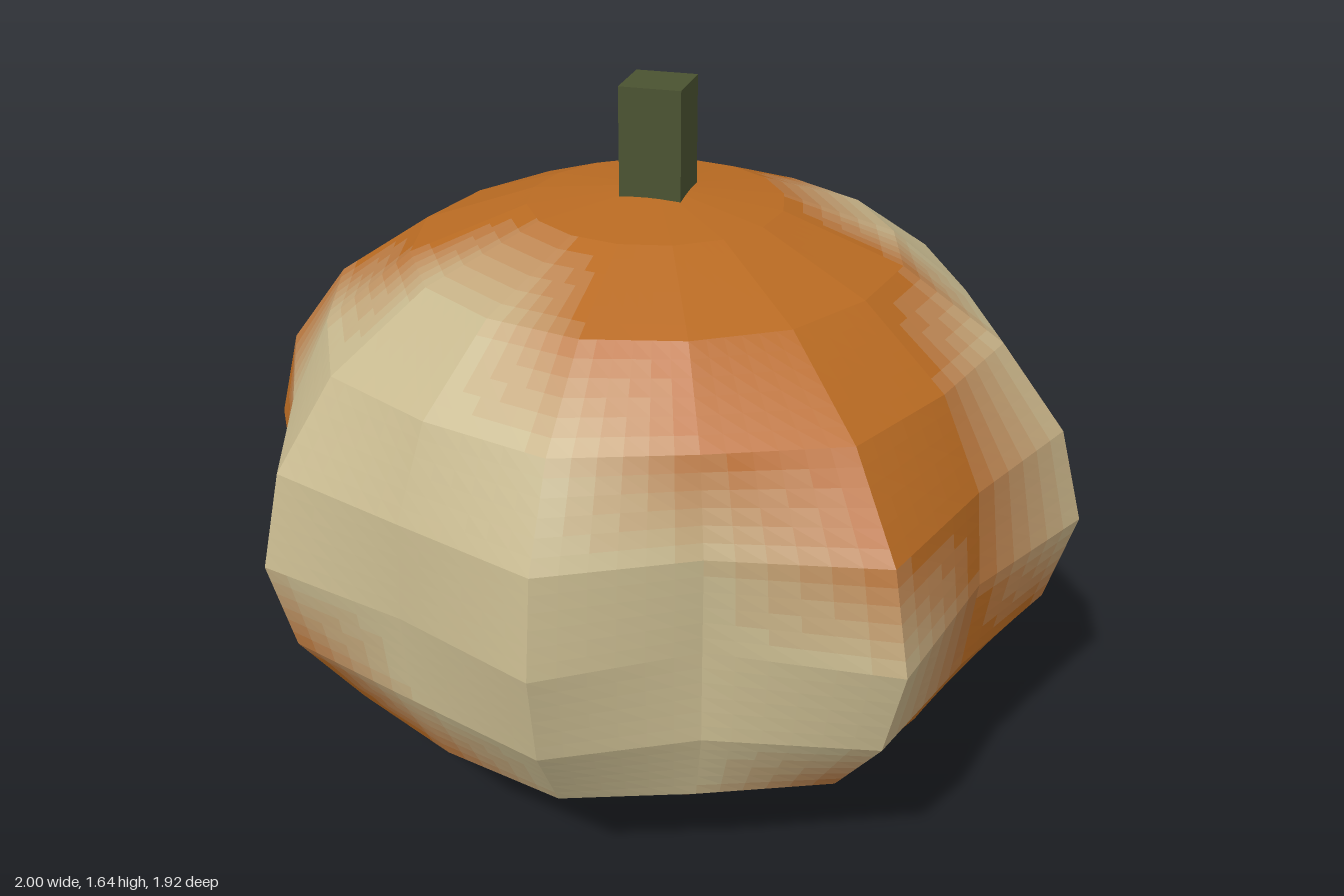
import * as THREE from 'three';

const SIDES = 16, RINGS = 10, CUTS = 6, TONES = 8;
const CENTRE_Y = 0.71, CENTRE_Z = 0.04, HALF_HEIGHT = 0.705;

// Ring radii from pole to equator, and how strongly ribs and dents show there
const ringRadius = [0, 0.29, 0.56, 0.79, 0.94, 1];
const ribStrength = [0, 0, 0.1, 0.38, 0.75, 1];

// Equator radius of each ridge and groove, from +x round towards +z
const ribRadius = [1, 0.875, 1, 0.79, 0.92, 0.85, 0.97, 0.865, 1, 0.87, 1, 0.87, 1, 0.87, 0.95, 0.81];

// Pale patches: rib index -> first and last pale ring
const paleRings = {
  0: [5, 7], 2: [4, 5], 3: [3, 6], 4: [3, 7], 5: [4, 8],
  6: [5, 8], 7: [6, 7], 14: [4, 8], 15: [4, 8],
};

function bodyPoint(i, j) {
  const k = Math.min(j, RINGS - j), side = i % SIDES;
  const angle = (side / SIDES) * Math.PI * 2;
  const r = ringRadius[k] * (1 - (1 - ribRadius[side]) * ribStrength[k]);
  const y = CENTRE_Y - HALF_HEIGHT * Math.cos((j / RINGS) * Math.PI);
  return new THREE.Vector3(r * Math.cos(angle), y, CENTRE_Z + r * Math.sin(angle));
}

function paleness(i, j) {
  const range = paleRings[i % SIDES];
  return range && j >= range[0] && j <= range[1] ? 1 : 0;
}

// Ribbed body: each facet is cut into small cells, sorted by tone
function makeBody() {
  const buckets = Array.from({ length: TONES }, () => []);
  const mix = (a, b, c, d, u, v) => a.clone().lerp(b, u).lerp(c.clone().lerp(d, u), v);

  for (let i = 0; i < SIDES; i++) {
    for (let j = 0; j < RINGS; j++) {
      const p = [[i, j], [i + 1, j], [i, j + 1], [i + 1, j + 1]];
      const corners = p.map(([a, b]) => bodyPoint(a, b));
      const pale = p.map(([a, b]) => paleness(a, b));
      const at = (u, v) => mix(...corners, u / CUTS, v / CUTS);
      for (let u = 0; u < CUTS; u++) {
        for (let v = 0; v < CUTS; v++) {
          const s = (u + 0.5) / CUTS, t = (v + 0.5) / CUTS;
          const w = (pale[0] * (1 - s) + pale[1] * s) * (1 - t) + (pale[2] * (1 - s) + pale[3] * s) * t;
          const out = buckets[Math.round(w * (TONES - 1))];
          const a = at(u, v), b = at(u + 1, v), c = at(u, v + 1), d = at(u + 1, v + 1);
          const top = j === RINGS - 1 && v === CUTS - 1;
          const bottom = j === 0 && v === 0;
          if (!top) out.push(a, c, d);
          if (!bottom) out.push(a, d, b);
        }
      }
    }
  }

  const geometry = new THREE.BufferGeometry().setFromPoints(buckets.flat());
  geometry.computeVertexNormals();
  const orange = new THREE.Color(0xb86a22), tan = new THREE.Color(0xc6b88e);
  let start = 0;
  const materials = buckets.map((points, n) => {
    geometry.addGroup(start, points.length, n);
    start += points.length;
    const color = orange.clone().lerp(tan, n / (TONES - 1));
    return new THREE.MeshStandardMaterial({ color, flatShading: true });
  });
  const body = new THREE.Mesh(geometry, materials);
  body.name = 'pumpkinBody';
  return body;
}

export function createModel() {
  const model = new THREE.Group();
  model.name = 'pumpkin';
  model.add(makeBody());

  // Square stem, sunk slightly into the top
  const stem = new THREE.Mesh(
    new THREE.BoxGeometry(0.14, 0.27, 0.14),
    new THREE.MeshStandardMaterial({ color: 0x4a5230, flatShading: true }),
  );
  stem.name = 'stem';
  stem.position.set(0.005, 1.515, CENTRE_Z);
  model.add(stem);
  return model;
}
